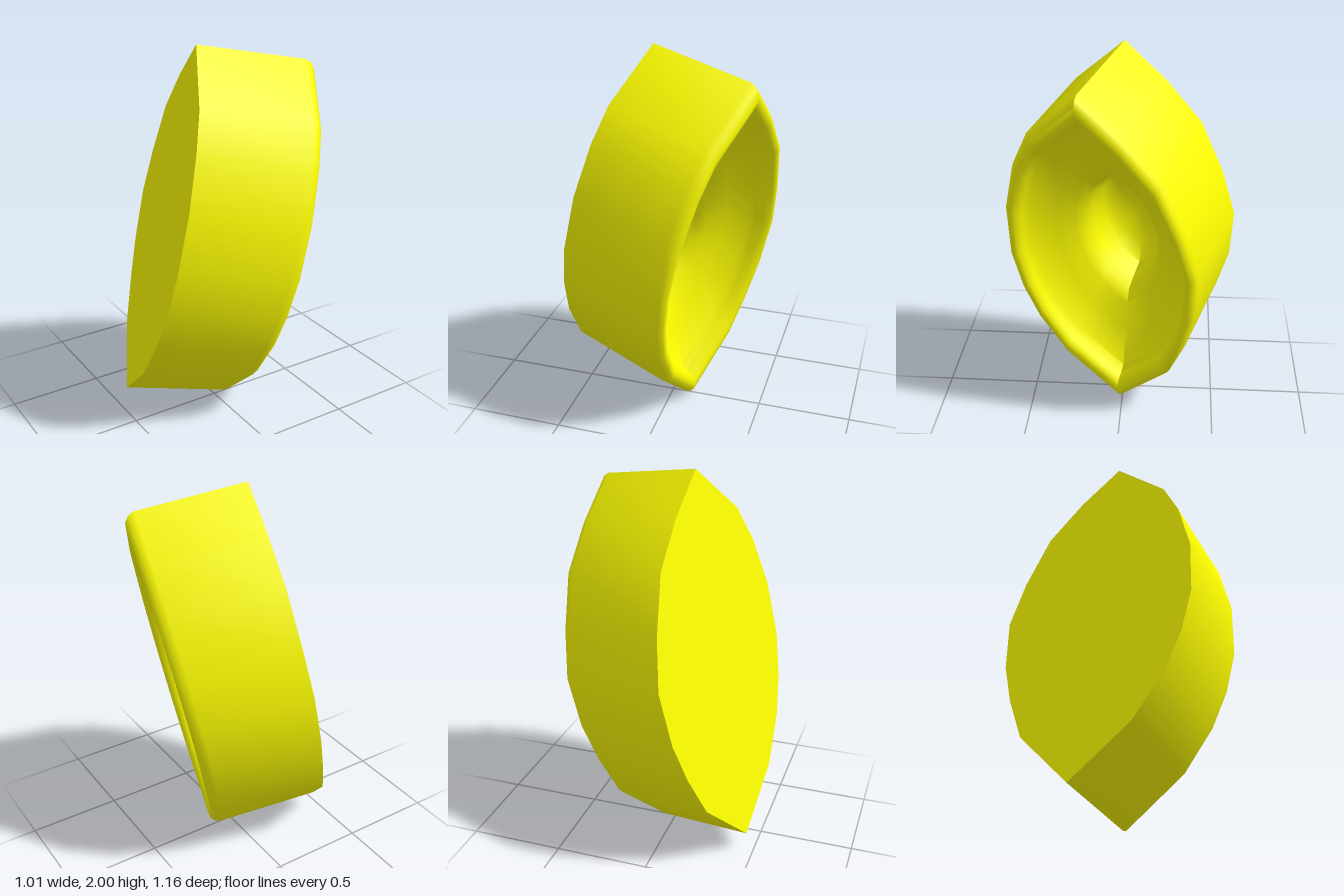
import * as THREE from 'three';
import { toCreasedNormals } from 'three/addons/utils/BufferGeometryUtils.js';

// Tilted frame of the lamp: centre of the back, width, height and depth directions
const center = new THREE.Vector3(-0.28, 1.05, -0.09);
const across = new THREE.Vector3(0.325, 0.028, -0.944);
const along = new THREE.Vector3(0.185, 0.978, 0.093);
const axis = new THREE.Vector3(0.53, -0.10, 0.18).normalize();

// Pointed oval outline, counter-clockwise as seen from the open side
const outline = [
  [0, -0.97], [0.302, -0.70], [0.409, -0.48], [0.482, -0.27], [0.52, 0.01], [0.47, 0.265], [0.372, 0.552], [0.203, 0.771],
  [0, 0.97], [-0.298, 0.73], [-0.401, 0.553], [-0.49, 0.29], [-0.52, -0.005], [-0.49, -0.24], [-0.425, -0.447], [-0.29, -0.69],
];

// Sweeps the outline through a profile of [scale, depth] pairs
function ovalShell(profile) {
  const n = outline.length;
  const positions = [];
  const index = [];
  for (const [scale, depth] of profile) {
    for (const [a, b] of outline) {
      const p = center.clone()
        .addScaledVector(across, a * scale)
        .addScaledVector(along, b * scale)
        .addScaledVector(axis, depth);
      positions.push(p.x, p.y, p.z);
    }
  }
  for (let i = 0; i < profile.length - 1; i++) {
    for (let j = 0; j < n; j++) {
      const k = (j + 1) % n;
      const a = i * n + j, b = i * n + k, c = a + n, d = b + n;
      if (profile[i][0] > 0) index.push(a, b, d);
      if (profile[i + 1][0] > 0) index.push(a, d, c);
    }
  }
  const geometry = new THREE.BufferGeometry();
  geometry.setAttribute('position', new THREE.Float32BufferAttribute(positions, 3));
  geometry.setIndex(index);
  return toCreasedNormals(geometry, 0.95);
}

export function createModel() {
  const group = new THREE.Group();
  group.name = 'pointedOvalLamp';
  const material = new THREE.MeshStandardMaterial({ color: 0xffff00 });

  const add = (name, profile) => {
    const mesh = new THREE.Mesh(ovalShell(profile), material);
    mesh.name = name;
    group.add(mesh);
  };

  // Flat back, straight side wall and rounded lip
  add('housing', [
    [0, 0], [1, 0], [1, 0.565], [0.985, 0.595], [0.955, 0.617],
    [0.92, 0.62], [0.885, 0.61], [0.86, 0.585], [0.85, 0.55],
  ]);

  // Trumpet-shaped hollow narrowing into a deep central recess
  add('bowl', [
    [0.85, 0.55], [0.82, 0.51], [0.62, 0.41], [0.47, 0.355], [0.40, 0.31],
    [0.37, 0.24], [0.34, 0.14], [0.24, 0.08], [0, 0.05],
  ]);

  return group;
}
